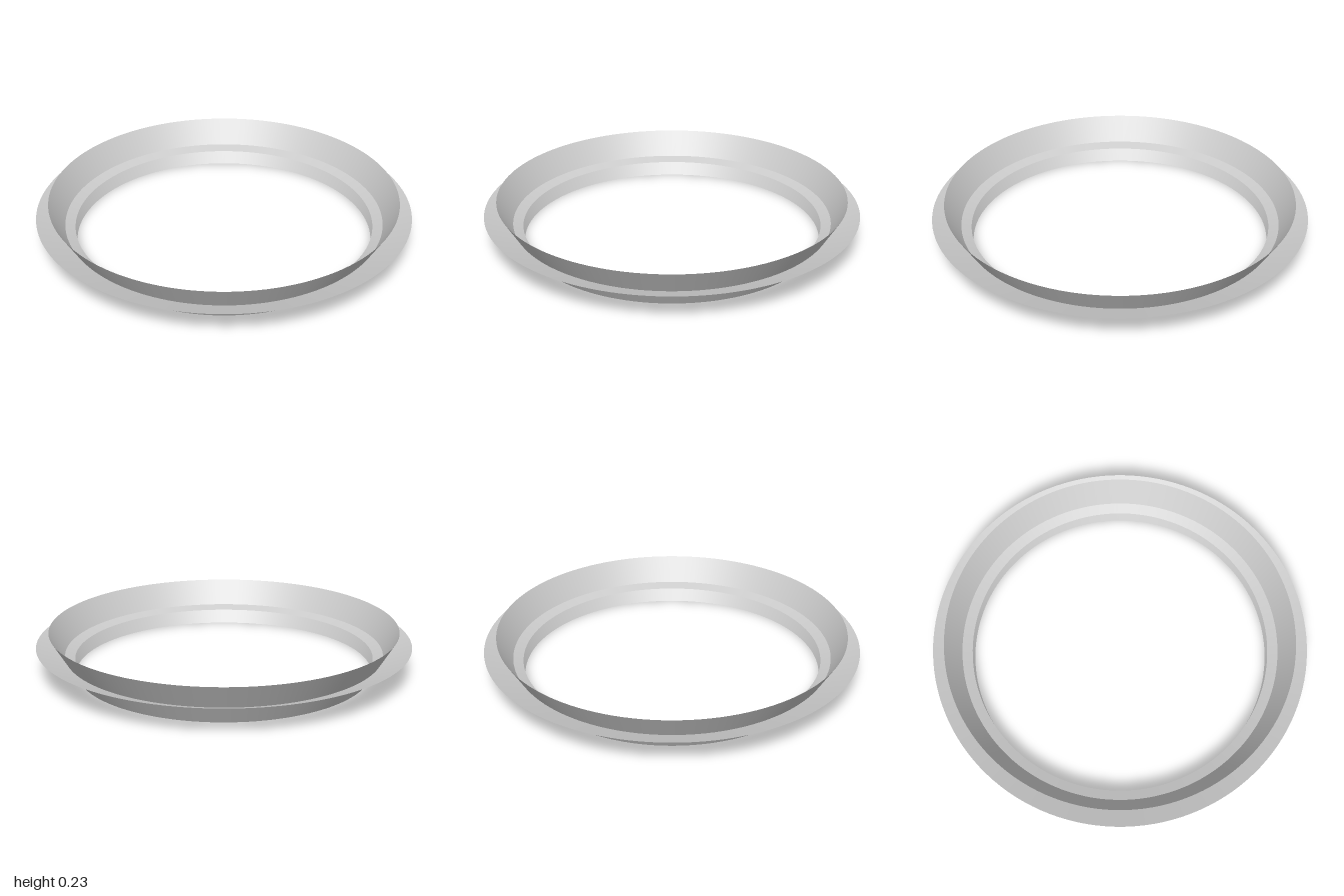
import * as THREE from 'three';

const SEGMENTS = 128;

// Thin conical band swept around the y axis between two [radius, height] points
function band(name, from, to, material) {
  const profile = [from, to].map(([r, y]) => new THREE.Vector2(r, y));
  const mesh = new THREE.Mesh(new THREE.LatheGeometry(profile, SEGMENTS), material);
  mesh.name = name;
  return mesh;
}

export function createModel() {
  const group = new THREE.Group();
  group.name = 'flangedRing';
  const material = new THREE.MeshStandardMaterial({ color: 0xcccccc, side: THREE.DoubleSide });

  // Steep wall, split where the flange crosses it
  const joint = [0.85, 0.099];
  group.add(band('lowerWall', [0.792, 0], joint, material));
  group.add(band('upperWall', joint, [0.931, 0.232], material));

  // Shallow flange outside the wall, and the narrow ledge continuing it inside
  group.add(band('outerFlange', joint, [1, 0.154], material));
  group.add(band('innerLedge', [0.797, 0.08], joint, material));

  return group;
}
